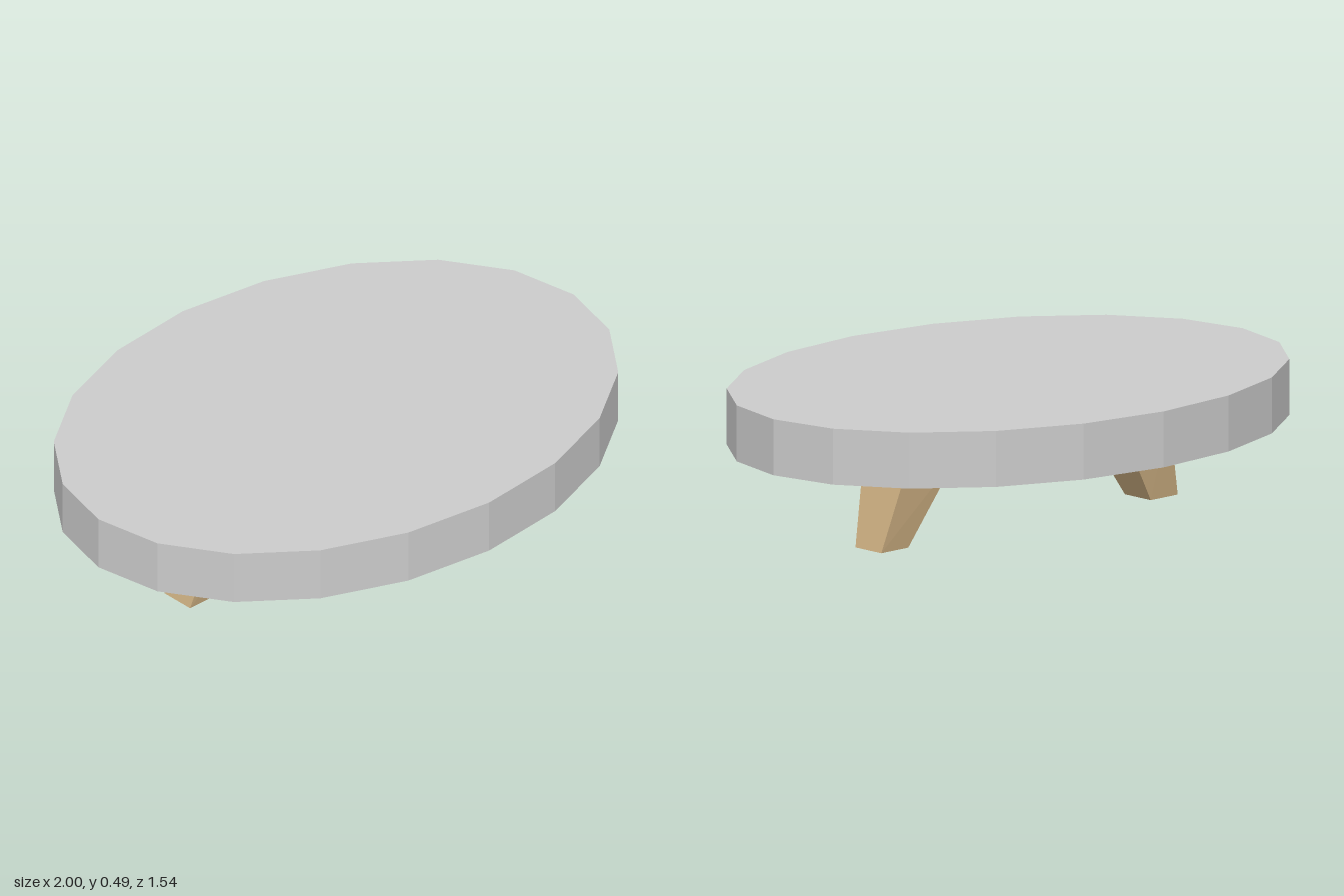
import * as THREE from 'three';

export function createModel() {
  const model = new THREE.Group();
  const grey = new THREE.MeshStandardMaterial({ color: 0xcccccc, flatShading: true });
  const wood = new THREE.MeshStandardMaterial({ color: 0xcfb183, flatShading: true });

  // Table top: 20-sided slab with a shallow cone underneath, stretched into a skewed oval
  const profile = [[0, 0.213], [1, 0.3], [1, 0.487], [0, 0.487]].map(p => new THREE.Vector2(...p));
  const slab = new THREE.LatheGeometry(profile, 20);
  slab.applyMatrix4(new THREE.Matrix4().set(
    0.998, 0, 0.17, 0,
    0, 1, 0, 0,
    -0.033, 0, 0.77, 0,
    0, 0, 0, 1));
  const top = new THREE.Mesh(slab, grey);
  top.name = 'tableTop';
  model.add(top);

  // Leg: slightly turned box that widens and leans inward as it rises into the top
  const leg = new THREE.BoxGeometry(1, 1, 1);
  const pos = leg.attributes.position;
  const foot = { x: 0.58, y: 0, z: 0.115, a: 0.12, b: 0.02 };
  const head = { x: 0.454, y: 0.29, z: 0.092, a: 0.212, b: 0.043 };
  for (let i = 0; i < pos.count; i++) {
    const end = pos.getY(i) < 0 ? foot : head;
    const x = pos.getX(i), z = pos.getZ(i);
    pos.setXYZ(i, end.x + end.a * x - end.b * z, end.y, end.z + end.b * x + end.a * z);
  }
  leg.computeVertexNormals();

  // Two legs, half a turn apart
  ['leftLeg', 'rightLeg'].forEach((name, i) => {
    const mesh = new THREE.Mesh(leg, wood);
    mesh.name = name;
    mesh.rotation.y = i * Math.PI;
    mesh.position.z = -0.035;
    model.add(mesh);
  });
  return model;
}
